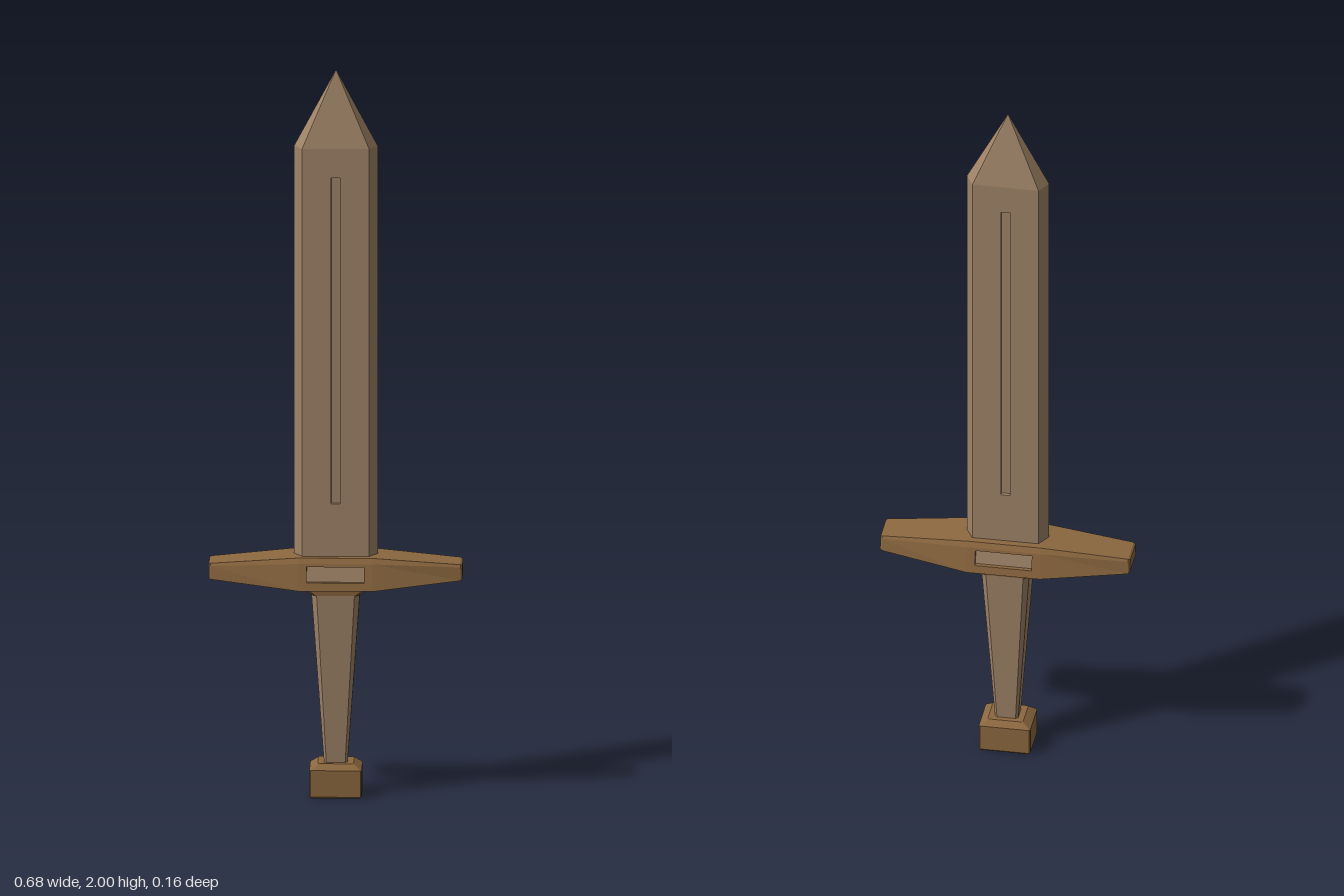
import * as THREE from 'three';

const paleWood = new THREE.MeshStandardMaterial({ color: 0xa08468, flatShading: true });
const darkWood = new THREE.MeshStandardMaterial({ color: 0x8c6840, flatShading: true });

function meshFrom(name, positions, material) {
  const g = new THREE.BufferGeometry();
  g.setAttribute('position', new THREE.Float32BufferAttribute(positions, 3));
  g.computeVertexNormals();
  const mesh = new THREE.Mesh(g, material);
  mesh.name = name;
  return mesh;
}

const quad = (out, a, b, c, d) => out.push(...a, ...b, ...c, ...a, ...c, ...d);

// Joins rings of corners with flat faces and caps both ends
function loft(name, rings, material, skip = () => false) {
  const out = [];
  const n = rings[0].length;
  for (let i = 0; i < rings.length - 1; i++) {
    for (let j = 0; j < n; j++) {
      if (skip(i, j)) continue;
      const k = (j + 1) % n;
      quad(out, rings[i][j], rings[i][k], rings[i + 1][k], rings[i + 1][j]);
    }
  }
  const first = rings[0], last = rings[rings.length - 1];
  for (let j = 1; j < n - 1; j++) {
    out.push(...first[0], ...first[j + 1], ...first[j]);
    out.push(...last[0], ...last[j], ...last[j + 1]);
  }
  return meshFrom(name, out, material);
}

// Rectangle corners, counter-clockwise
const rect = (hw, y0, y1) => [[-hw, y0], [hw, y0], [hw, y1], [-hw, y1]];

// Front face with a sunken rectangular pocket, plus its mirrored twin on the back
function pocketFaces(name, outer, hole, depth, zAt, faceMaterial, floorMaterial) {
  const shape = new THREE.Shape(outer.map(p => new THREE.Vector2(...p)));
  shape.holes.push(new THREE.Path(hole.map(p => new THREE.Vector2(...p))));
  const face = new THREE.ShapeGeometry(shape);
  const pos = face.attributes.position;
  for (let i = 0; i < pos.count; i++) pos.setZ(i, zAt(pos.getY(i)));
  face.computeVertexNormals();

  const rim = hole.map(([x, y]) => [x, y, zAt(y)]);
  const base = hole.map(([x, y]) => [x, y, zAt(y) - depth]);
  const walls = [], floor = [];
  for (let j = 0; j < 4; j++) {
    const k = (j + 1) % 4;
    quad(walls, rim[j], rim[k], base[k], base[j]);
  }
  quad(floor, ...base);

  const group = new THREE.Group();
  group.name = name;
  for (const turn of [0, Math.PI]) {
    const side = new THREE.Group();
    side.name = turn ? 'backFace' : 'frontFace';
    const plate = new THREE.Mesh(face, faceMaterial);
    plate.name = 'surface';
    side.add(plate, meshFrom('pocketWalls', walls, faceMaterial), meshFrom('pocketFloor', floor, floorMaterial));
    side.rotation.y = turn;
    group.add(side);
  }
  return group;
}

// Horizontal six-sided ring for the blade
const hexRing = (y, a, b, z) =>
  [[-a, y, z], [a, y, z], [b, y, 0], [a, y, -z], [-a, y, -z], [-b, y, 0]];

// Horizontal rectangle ring with cut corners
const cutRing = (y, x, z, c) => [
  [-x + c, y, z], [x - c, y, z], [x, y, z - c], [x, y, -z + c],
  [x - c, y, -z], [-x + c, y, -z], [-x, y, -z + c], [-x, y, z - c],
];

// Upright guard section: chamfered top edge, sides leaning out to the bottom
const guardRing = (x, yb, ym, yt, zb, zm, zt) =>
  [[x, yt, zt], [x, ym, zm], [x, yb, zb], [x, yb, -zb], [x, ym, -zm], [x, yt, -zt]];

export function createModel() {
  const model = new THREE.Group();
  model.name = 'sword';

  // Blade with a long groove down each flat
  const blade = new THREE.Group();
  blade.name = 'blade';
  blade.add(
    loft('bladeBody',
      [hexRing(0.64, 0.09, 0.112, 0.04), hexRing(1.79, 0.09, 0.112, 0.04), hexRing(2, 0, 0, 0)],
      paleWood, (i, j) => i === 0 && j % 3 === 0),
    pocketFaces('grooves', rect(0.09, 0.64, 1.79), rect(0.012, 0.81, 1.71),
      0.01, () => 0.04, paleWood, paleWood));
  model.add(blade);

  // Crossguard tapering to both ends, with a sunken panel front and back
  const end = [0.602, 0.638, 0.645, 0.049, 0.046, 0.043];
  const tip = [0.606, 0.635, 0.641, 0.045, 0.042, 0.039];
  const mid = [0.578, 0.65, 0.665, 0.08, 0.067, 0.06];
  const guard = new THREE.Group();
  guard.name = 'crossguard';
  guard.add(
    loft('guardBody',
      [[-0.34, tip], [-0.335, end], [-0.1, mid], [0.1, mid], [0.335, end], [0.34, tip]]
        .map(([x, s]) => guardRing(x, ...s)),
      darkWood, (i, j) => i === 2 && (j === 1 || j === 3)),
    pocketFaces('panels', rect(0.1, 0.578, 0.65), rect(0.077, 0.6, 0.642), 0.011,
      y => 0.08 - (y - 0.578) / 0.072 * 0.013, darkWood, paleWood));
  model.add(guard);

  // Collar flaring out under the guard
  model.add(loft('collar',
    [cutRing(0.56, 0.066, 0.056, 0.012), cutRing(0.585, 0.096, 0.058, 0.012)], darkWood));

  // Grip narrowing towards the pommel
  model.add(loft('grip',
    [cutRing(0.07, 0.03, 0.026, 0.006), cutRing(0.565, 0.065, 0.055, 0.014)], paleWood));

  // Pommel block with a bevelled top
  model.add(loft('pommel',
    [cutRing(0, 0.067, 0.053, 0.003), cutRing(0.004, 0.07, 0.056, 0.003),
      cutRing(0.077, 0.07, 0.056, 0.003), cutRing(0.093, 0.048, 0.042, 0.003)], darkWood));

  return model;
}
